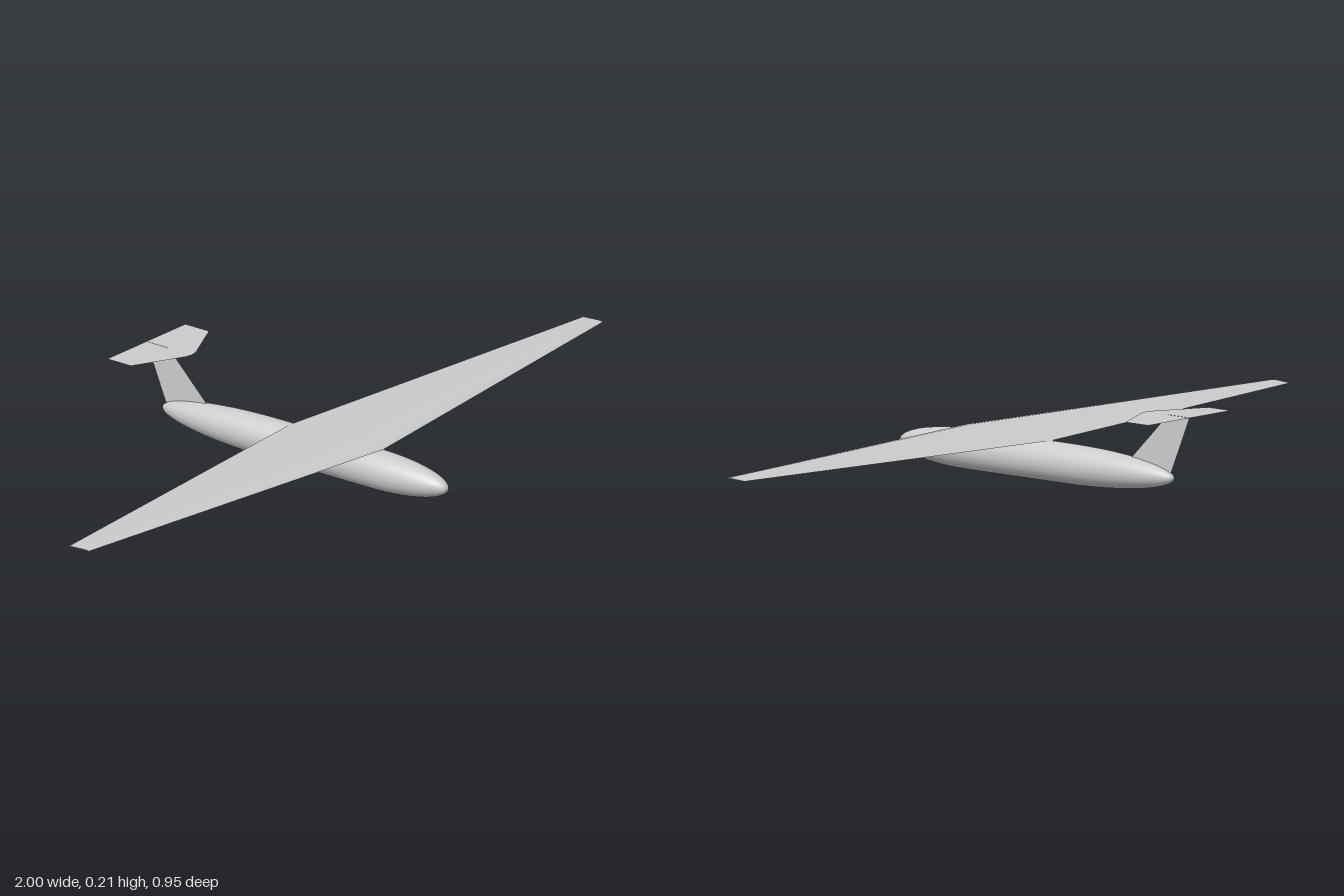
import * as THREE from 'three';
import { toCreasedNormals } from 'three/addons/utils/BufferGeometryUtils.js';

const grey = new THREE.MeshStandardMaterial({ color: 0xcccccc, side: THREE.DoubleSide });

function addPart(parent, name, geometry) {
  const mesh = new THREE.Mesh(geometry, grey);
  mesh.name = name;
  parent.add(mesh);
  return mesh;
}

// Round body: elliptical nose, straight middle, long elliptical tail
function fuselageGeometry() {
  const r = 0.05, noseStart = 0.25, tailStart = -0.07, steps = 20;
  const profile = [];
  for (let i = 0; i <= steps; i++) {
    const a = (i / steps) * Math.PI / 2;
    profile.push(new THREE.Vector2(r * Math.sin(a), tailStart - 0.352 * Math.cos(a)));
  }
  for (let i = 0; i <= steps; i++) {
    const a = (i / steps) * Math.PI / 2;
    profile.push(new THREE.Vector2(r * Math.cos(a), noseStart + 0.225 * Math.sin(a)));
  }
  return new THREE.LatheGeometry(profile, 40).rotateX(Math.PI / 2).translate(0, r, 0);
}

// Wing: one thin section lofted from tip to root to tip
function wingGeometry() {
  // Chord fraction from the leading edge and height at the root, over the top and back below
  const section = [[0, 0.105], [0.02, 0.109], [0.06, 0.112], [0.13, 0.1145], [0.22, 0.1145], [0.4, 0.112],
    [0.6, 0.108], [0.8, 0.104], [1, 0.1005], [0.7, 0.102], [0.3, 0.104]];
  const stations = [
    { x: -1, lead: 0.154, chord: 0.062, thick: 0.22 },
    { x: 0, lead: 0.272, chord: 0.292, thick: 1 },
    { x: 1, lead: 0.154, chord: 0.062, thick: 0.22 },
  ];
  const n = section.length, pos = [], idx = [];
  for (const s of stations) {
    for (const [c, y] of section) {
      pos.push(s.x, 0.1 + (1 - s.thick) * 0.0115 + (y - 0.1) * s.thick, s.lead - c * s.chord);
    }
  }
  for (let k = 0; k < stations.length - 1; k++) {
    for (let i = 0; i < n; i++) {
      const a = k * n + i, b = k * n + (i + 1) % n;
      idx.push(a, a + n, b, b, a + n, b + n);
    }
  }
  // Tip caps
  const last = (stations.length - 1) * n;
  for (let i = 1; i < n - 1; i++) {
    idx.push(0, i, i + 1, last, last + i + 1, last + i);
  }
  const g = new THREE.BufferGeometry();
  g.setAttribute('position', new THREE.Float32BufferAttribute(pos, 3));
  g.setIndex(idx);
  return toCreasedNormals(g, 0.5);
}

// Thin sheet from a flat outline
function sheet(points) {
  return new THREE.ShapeGeometry(new THREE.Shape(points.map(([x, y]) => new THREE.Vector2(x, y))));
}

export function createModel() {
  const model = new THREE.Group();
  model.name = 'glider';

  addPart(model, 'fuselage', fuselageGeometry());
  addPart(model, 'wing', wingGeometry());

  // Fin outline is given as (-z, y), then turned into the centre plane
  addPart(model, 'fin', sheet([[0.27, 0.075], [0.395, 0.06], [0.414, 0.064], [0.475, 0.207], [0.404, 0.207]])
    .rotateY(Math.PI / 2));

  // Tailplane outline is given as (x, -z), then laid flat on top of the fin
  addPart(model, 'tailplane', sheet([[-0.152, 0.4], [-0.02, 0.335], [0, 0.331], [0.02, 0.335], [0.152, 0.4],
    [0.152, 0.475], [-0.152, 0.475]]).rotateX(-Math.PI / 2).translate(0, 0.2065, 0));

  return model;
}
